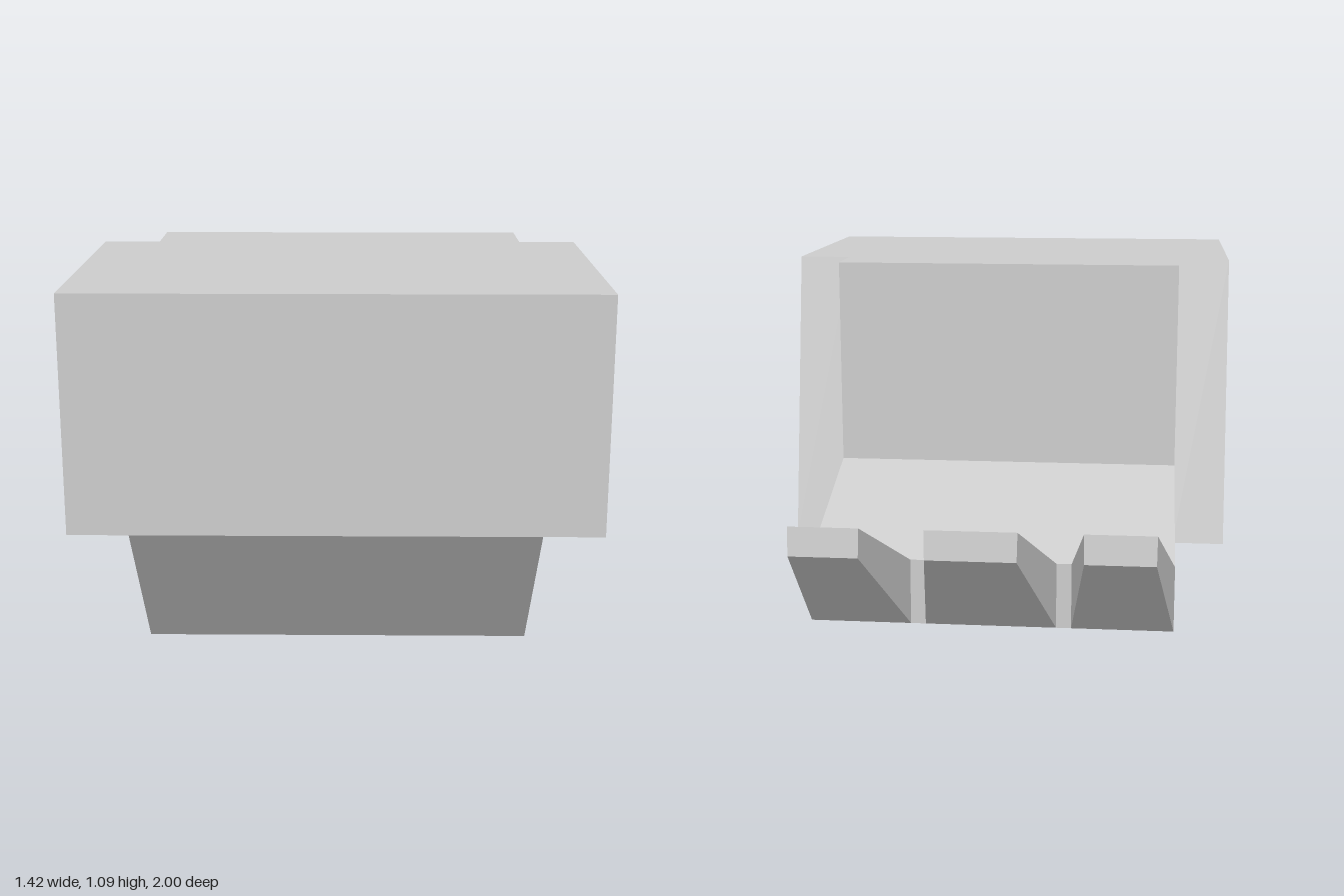
import * as THREE from 'three';

const material = new THREE.MeshStandardMaterial({ color: 0xcccccc, flatShading: true });

// Extrude a side profile of [z, y] points across x, from x0 to x1
function slab(profile, x0, x1) {
  const shape = new THREE.Shape(profile.map(([z, y]) => new THREE.Vector2(z, y)));
  const geometry = new THREE.ExtrudeGeometry(shape, { depth: x1 - x0, bevelEnabled: false });
  geometry.rotateY(-Math.PI / 2);
  geometry.translate(x1, 0, 0);
  return geometry;
}

function part(name, geometry) {
  geometry.computeVertexNormals();
  const mesh = new THREE.Mesh(geometry, material);
  mesh.name = name;
  return mesh;
}

// Tooth whose sides narrow from the root span to the tip span
function tooth(name, root, tip) {
  const zRoot = -0.5, zTip = -1;
  const geometry = slab([[zRoot, 0.05], [zRoot, 0.25], [-0.99, 0.485], [zTip, 0.405]], 0, 1);
  const p = geometry.attributes.position;
  for (let i = 0; i < p.count; i++) {
    const t = (p.getZ(i) - zRoot) / (zTip - zRoot);
    const side = Math.round(p.getX(i));
    p.setX(i, THREE.MathUtils.lerp(root[side], tip[side], t));
  }
  return part(name, geometry);
}

export function createModel() {
  const group = new THREE.Group();
  group.name = 'toothedBlock';

  // Central body with the sloping lip at the back
  group.add(part('body', slab([
    [1, 1.085], [0.015, 1.085], [0.015, 0.435], [-0.5, 0.25],
    [-0.5, 0.05], [0, 0], [0.665, 0], [1, 0.435],
  ], -0.547, 0.547)));

  // Side cheeks
  const cheek = [[1, 1.085], [0.195, 1.085], [0.025, 0.17], [1, 0.435]];
  group.add(part('leftCheek', slab(cheek, 0.547, 0.712)));
  group.add(part('rightCheek', slab(cheek, -0.712, -0.547)));

  // Three tapered teeth along the lip
  group.add(tooth('middleTooth', [-0.197, 0.197], [-0.123, 0.123]));
  group.add(tooth('leftTooth', [0.242, 0.547], [0.3, 0.49]));
  group.add(tooth('rightTooth', [-0.547, -0.242], [-0.49, -0.3]));
  return group;
}
